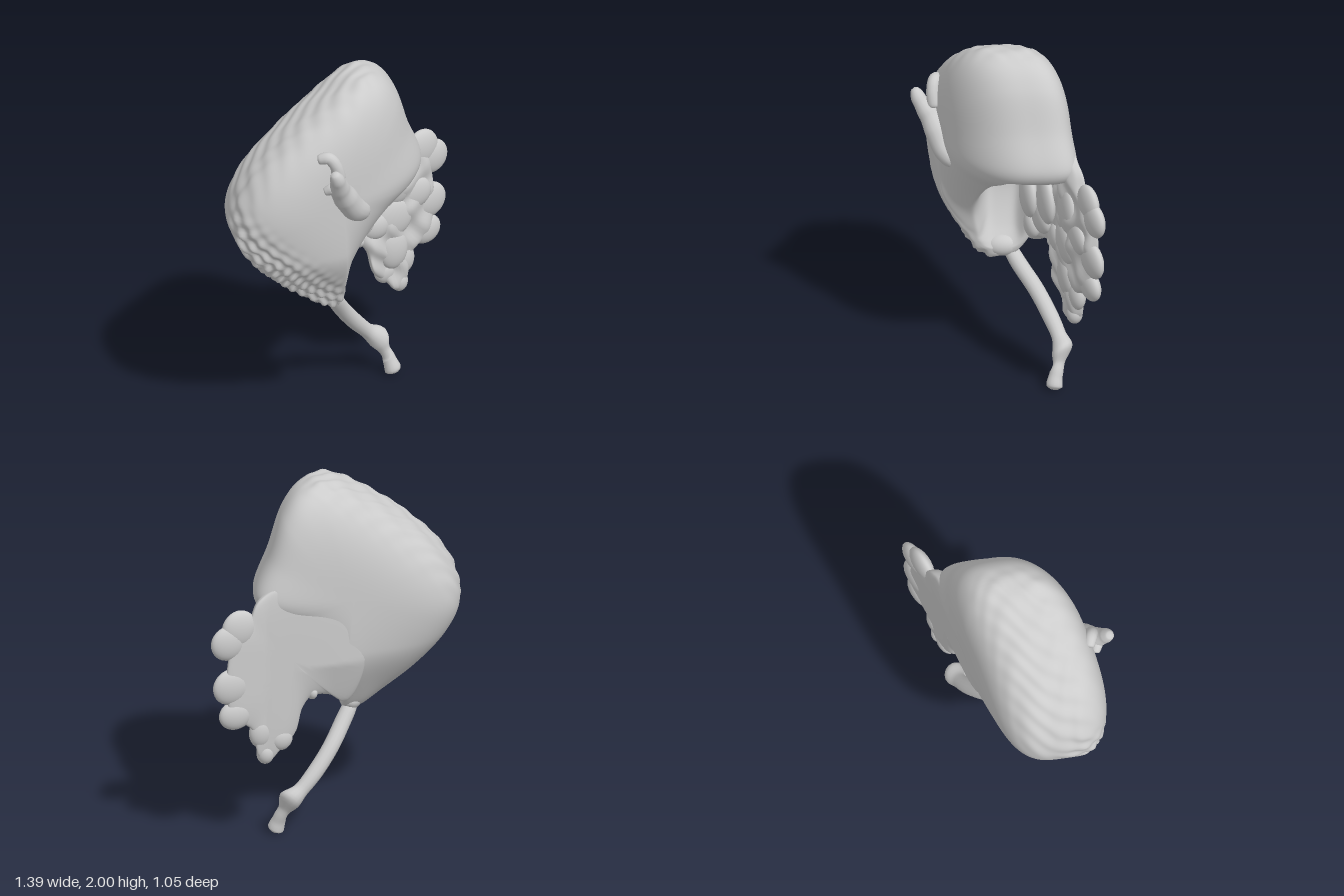
import * as THREE from 'three';
import { mergeVertices } from 'three/addons/utils/BufferGeometryUtils.js';

const material = new THREE.MeshStandardMaterial({ color: 0xcccccc, side: THREE.DoubleSide });
const { smoothstep, lerp } = THREE.MathUtils;

function add(group, name, geometry) {
  const mesh = new THREE.Mesh(geometry, material);
  mesh.name = name;
  group.add(mesh);
  return mesh;
}

// Triangle grid that closes around u; at(i, j) gives each vertex
function loft(nu, nv, at) {
  const pos = [], idx = [];
  for (let j = 0; j <= nv; j++) for (let i = 0; i < nu; i++) pos.push(...at(i, j));
  for (let j = 0; j < nv; j++) for (let i = 0; i < nu; i++) {
    const k = (i + 1) % nu, a = j * nu + i, b = j * nu + k;
    idx.push(a, b, b + nu, a, b + nu, a + nu);
  }
  let g = new THREE.BufferGeometry();
  g.setAttribute('position', new THREE.Float32BufferAttribute(pos, 3));
  g.setIndex(idx);
  g = mergeVertices(g, 1e-5);
  g.computeVertexNormals();
  return g;
}

// Inflate a counterclockwise outline around a centre into a pillow
function pillow(outline, centre, nu, nv, power, place) {
  const curve = new THREE.CatmullRomCurve3(outline.map(([x, y]) => new THREE.Vector3(x, y, 0)), true);
  const pts = curve.getSpacedPoints(nu);
  return loft(nu, nv, (i, j) => {
    const phi = (j / nv - 0.5) * Math.PI;
    const s = Math.pow(Math.max(0, Math.cos(phi)), 2 / power);
    const h = Math.sign(phi) * Math.pow(Math.abs(Math.sin(phi)), 2 / power);
    const p = pts[i];
    return place(centre[0] + (p.x - centre[0]) * s, centre[1] + (p.y - centre[1]) * s, h, p, phi);
  });
}

// Tube of varying radius: stations are [x, y, z, radius]
function limb(stations, nu = 14, nv = 48) {
  const curve = new THREE.CatmullRomCurve3(stations.map(s => new THREE.Vector3(s[0], s[1], s[2])));
  const frames = curve.computeFrenetFrames(nv, false);
  return loft(nu, nv, (i, j) => {
    const t = j / nv, f = t * (stations.length - 1), k = Math.min(Math.floor(f), stations.length - 2);
    const cap = Math.sqrt(Math.max(0, 1 - Math.pow(Math.abs(2 * t - 1), 16)));
    const r = cap * lerp(stations[k][3], stations[k + 1][3], smoothstep(f - k, 0, 1));
    const a = (i / nu) * Math.PI * 2;
    return curve.getPoint(t)
      .addScaledVector(frames.normals[j], r * Math.cos(a))
      .addScaledVector(frames.binormals[j], r * Math.sin(a)).toArray();
  });
}

function blob(group, name, [x, y, z], [rx, ry, rz], yaw = 0) {
  const m = add(group, name, new THREE.SphereGeometry(1, 24, 16));
  m.position.set(x, y, z);
  m.scale.set(rx, ry, rz);
  m.rotation.y = yaw;
}

// Depth of the frill's mid-plane: follows the pouch's back wall, then bends away
function frillZ(x, y) {
  const base = x > 0.38 ? -0.36 - 0.5 * (x - 0.38) : -0.36 - 0.27 * (x - 0.38);
  return base + 0.3 * Math.max(0, 1 - y) * smoothstep(-x, -0.3, 0);
}

export function createModel() {
  const model = new THREE.Group();

  // Pouch: skewed pillow with a narrow hollow mouth along its lower edge
  const pouch = [
    [0.08, 2.0], [-0.03, 1.965], [-0.17, 1.88], [-0.4, 1.71], [-0.59, 1.52], [-0.68, 1.35],
    [-0.69, 1.21], [-0.62, 1.06], [-0.45, 0.87], [-0.27, 0.73], [-0.13, 0.64], [-0.05, 0.64],
    [-0.03, 0.74], [0.0, 0.9], [0.09, 1.05], [0.24, 1.2], [0.41, 1.32], [0.45, 1.4],
    [0.37, 1.62], [0.29, 1.85], [0.2, 1.96],
  ];
  add(model, 'pouch', pillow(pouch, [-0.1, 1.37], 220, 110, 2.9, (x, y, h, p, phi) => {
    // inward pull that opens the mouth
    const t = ((p.x + 0.05) * 0.6 + (p.y - 0.72) * 0.8) / 0.76;
    const off = Math.abs((p.x + 0.05) * 0.8 - (p.y - 0.72) * 0.6);
    const w = t > 0 && t < 1 && off < 0.14 ? Math.sqrt(Math.sin(Math.PI * t)) : 0;
    const pull = 0.28 * w * Math.exp(-Math.pow((phi + 0.03) / 0.3, 4));
    const chin = 1 - 0.35 * smoothstep(-y, -1.05, -0.65);
    const z = 0.02 - 0.35 * x - 0.23 * x * x + h * 0.328 * chin;
    // small knobs low on the front side, soft dimples along the upper slope
    const low = smoothstep(-(x * 0.75 + y * 0.8), -0.68, -0.42) * smoothstep(h, -0.4, 0.5);
    const high = smoothstep(y - 0.85 * x, 1.78, 1.95) * (1 - h * h);
    const knob = low * 0.012 * Math.sin(x * 62 + 1.5 * Math.sin(y * 17)) * Math.sin(y * 58 + z * 30);
    const dimple = high * 0.007 * Math.sin(x * 45 + 2 * Math.sin(z * 13)) * Math.sin(z * 40 + y * 25);
    const b = 1 + (knob + dimple) / 0.5;
    return [-0.1 + (x + 0.1) * b - 0.8 * pull, 1.37 + (y - 1.37) * b + 0.6 * pull, z + knob];
  }));
  blob(model, 'chin', [-0.09, 0.69, 0.02], [0.065, 0.065, 0.1]);

  // Frill: thin lumpy sheet continuing the back wall
  const frill = new THREE.Group();
  frill.name = 'frill';
  model.add(frill);
  const sheet = [
    [0.42, 1.42], [0.2, 1.5], [-0.12, 1.35], [-0.16, 0.95], [-0.06, 0.74], [0.03, 0.8], [0.13, 0.81],
    [0.18, 0.75], [0.22, 0.61], [0.3, 0.53], [0.36, 0.47], [0.42, 0.5], [0.46, 0.67],
    [0.57, 0.76], [0.6, 0.95], [0.59, 1.1], [0.56, 1.24], [0.48, 1.3],
  ];
  add(frill, 'frillSheet', pillow(sheet, [0.23, 1.05], 120, 60, 4, (x, y, h) => {
    const lump = 0.022 * Math.sin(x * 28 + 2 * Math.sin(y * 9)) * Math.sin(y * 24 + x * 8);
    return [x, y, frillZ(x, y) + h * 0.045 + (h > 0 ? h * (lump + 0.015) : 0)];
  }));
  // rounded lobes on the rim: [x, y, rx, ry]
  const lobes = [
    [0.53, 1.27, 0.105, 0.11], [0.59, 1.2, 0.105, 0.1], [0.57, 0.94, 0.115, 0.105], [0.55, 0.77, 0.1, 0.085],
    [0.385, 0.51, 0.05, 0.06], [0.3, 0.59, 0.07, 0.07], [0.41, 0.64, 0.07, 0.09], [0.13, 0.83, 0.03, 0.04],
  ];
  for (const [x, y, rx, ry] of lobes) blob(frill, 'frillLobe', [x, y, frillZ(x, y)], [rx, ry, 0.045], 0.45);
  // raised petals on the inner face, deeper toward the mouth: [x, y, rx, ry, rise]
  for (const [x, y, rx, ry, rise] of [
    [0.17, 1.1, 0.11, 0.14, 0.09], [0.36, 1.15, 0.11, 0.15, 0.03], [0.1, 0.97, 0.12, 0.1, 0.09],
    [0.33, 0.92, 0.13, 0.12, 0.03], [0.46, 1.03, 0.12, 0.1, 0.02], [0.34, 0.73, 0.09, 0.12, 0.03],
    [0.05, 1.07, 0.1, 0.13, 0.15], [0.03, 0.88, 0.07, 0.08, 0.09], [0.23, 0.9, 0.09, 0.08, 0.04],
  ]) blob(frill, 'frillPetal', [x, y, frillZ(x, y) + rise], [rx, ry, 0.045], 0.3);

  // Stalk with a knuckle near its foot
  add(model, 'stalk', limb([
    [-0.11, 0.7, 0.0, 0.045], [-0.05, 0.59, -0.07, 0.045], [0.02, 0.47, -0.16, 0.045],
    [0.1, 0.36, -0.23, 0.045], [0.18, 0.27, -0.28, 0.042], [0.25, 0.21, -0.3, 0.062],
    [0.285, 0.14, -0.28, 0.036], [0.305, 0.09, -0.265, 0.038], [0.325, 0.03, -0.255, 0.047],
    [0.33, 0.005, -0.25, 0.035],
  ]));

  // Gnarled crest rising from the front face, with a hook and side branch
  add(model, 'crest', limb([
    [-0.175, 1.63, 0.5, 0.028], [-0.15, 1.57, 0.475, 0.042], [-0.125, 1.49, 0.42, 0.058],
    [-0.08, 1.41, 0.375, 0.07], [-0.03, 1.33, 0.335, 0.07], [0.05, 1.27, 0.27, 0.06],
  ]));
  add(model, 'crestHook', limb([
    [-0.24, 1.66, 0.37, 0.03], [-0.18, 1.67, 0.39, 0.035], [-0.145, 1.63, 0.4, 0.035], [-0.12, 1.53, 0.39, 0.04],
  ]));
  add(model, 'crestBranch', limb([
    [-0.21, 1.48, 0.41, 0.025], [-0.16, 1.5, 0.425, 0.035], [-0.12, 1.48, 0.42, 0.04],
  ]));
  return model;
}
